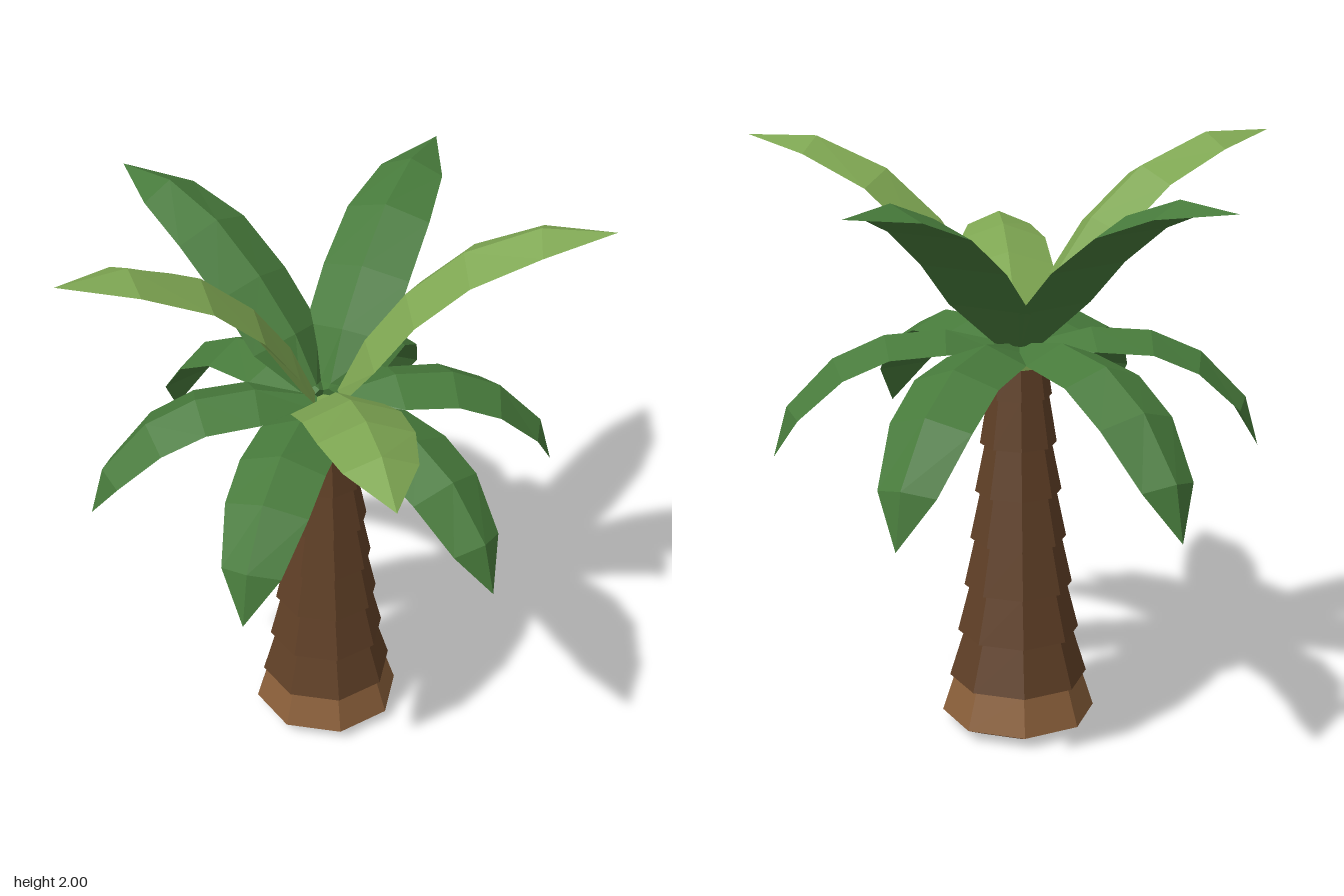
import * as THREE from 'three';

const mat = (name, color) => {
  const m = new THREE.MeshStandardMaterial({ color });
  m.name = name;
  return m;
};

// Splits shared vertices so every face is flat
function faceted(geo) {
  const g = geo.index ? geo.toNonIndexed() : geo;
  g.computeVertexNormals();
  return g;
}

// Closed three-sided leaf: ridge on top, flat underside, pointed tip.
// rib: [distance out, height]; widths: half width at each rib point.
function frondGeometry(rib, widths, depths) {
  const rings = rib.map(([r, y], i) => {
    const a = rib[Math.max(i - 1, 0)];
    const b = rib[Math.min(i + 1, rib.length - 1)];
    const t = new THREE.Vector2(b[0] - a[0], b[1] - a[1]).normalize();
    const er = r + t.y * depths[i];
    const ey = y - t.x * depths[i];
    return [[0, y, r], [-widths[i], ey, er], [widths[i], ey, er]];
  });
  const pos = [];
  const tri = (...corners) => corners.forEach((c) => pos.push(...c));
  tri(rings[0][0], rings[0][2], rings[0][1]);
  for (let i = 0; i < rings.length - 1; i++) {
    for (let k = 0; k < 3; k++) {
      const n = (k + 1) % 3;
      const [p, q, q2, p2] = [rings[i][k], rings[i][n], rings[i + 1][n], rings[i + 1][k]];
      tri(p, q, q2);
      if (i < rings.length - 2) tri(p, q2, p2);
    }
  }
  const g = new THREE.BufferGeometry();
  g.setAttribute('position', new THREE.Float32BufferAttribute(pos, 3));
  return faceted(g);
}

export function createModel() {
  const bark = mat('bark brown', 0x5f3f26);
  const rootBark = mat('light root brown', 0x8a5f3a);
  const green = mat('leaf green', 0x477a3b);
  const lightGreen = mat('light leaf green', 0x7ea652);

  const palm = new THREE.Group();
  palm.name = 'palmTree';
  palm.position.z = -0.13;

  const add = (name, geo, material) => {
    const mesh = new THREE.Mesh(geo, material);
    mesh.name = name;
    palm.add(mesh);
    return mesh;
  };
  // Eight-sided tapered ring from y0 to y1
  const ring = (name, y0, y1, r0, r1, material) => {
    const g = new THREE.CylinderGeometry(r1, r0, y1 - y0, 8);
    add(name, faceted(g), material).position.y = (y0 + y1) / 2;
  };

  // Trunk: foot, then overlapping bark rings
  ring('trunkFoot', 0, 0.04, 0.18, 0.262, rootBark);
  ring('trunkBase', 0.04, 0.17, 0.262, 0.22, rootBark);
  [
    [0.17, 0.335, 0.236, 0.185],
    [0.335, 0.5, 0.207, 0.165],
    [0.5, 0.667, 0.184, 0.147],
    [0.667, 0.833, 0.163, 0.128],
    [0.833, 1.0, 0.146, 0.112],
    [1.0, 1.165, 0.129, 0.102],
    [1.165, 1.275, 0.112, 0.095],
  ].forEach(([y0, y1, r0, r1], i) => ring(`barkRing${i + 1}`, y0, y1, r0, r1, bark));

  // Collar under the crown
  ring('crownCollar', 1.27, 1.31, 0.105, 0.1, lightGreen);

  const frond = (name, geo, degrees, material) => {
    add(name, geo, material).rotation.y = THREE.MathUtils.degToRad(degrees);
  };

  // Lower drooping fronds, six around the crown
  const lowWidths = [0.05, 0.14, 0.145, 0.14, 0.1, 0];
  const lowDepths = [0.03, 0.055, 0.055, 0.055, 0.045, 0];
  const droop = frondGeometry(
    [[0.03, 1.34], [0.24, 1.39], [0.44, 1.375], [0.61, 1.3], [0.765, 1.14], [0.812, 0.97]],
    lowWidths, lowDepths);
  const backDroop = frondGeometry(
    [[0.03, 1.345], [0.24, 1.385], [0.47, 1.355], [0.66, 1.25], [0.82, 1.065], [0.856, 0.887]],
    lowWidths, lowDepths);

  // Upper rising fronds, five around the crown
  const highWidths = [0.05, 0.155, 0.158, 0.152, 0.115, 0];
  const highDepths = [0.03, 0.055, 0.055, 0.055, 0.048, 0];
  const frontRise = frondGeometry(
    [[0.04, 1.35], [0.17, 1.455], [0.4, 1.57], [0.62, 1.632], [0.83, 1.645], [1.03, 1.585]],
    highWidths, highDepths);
  const sideRise = frondGeometry(
    [[0.04, 1.36], [0.13, 1.56], [0.26, 1.74], [0.44, 1.9], [0.678, 2.0], [0.914, 1.998]],
    highWidths, highDepths);
  const backRise = frondGeometry(
    [[0.04, 1.36], [0.136, 1.52], [0.297, 1.68], [0.494, 1.82], [0.717, 1.895], [0.952, 1.88]],
    highWidths, highDepths);

  frond('upperFrontFrond', frontRise, 0, lightGreen);
  for (const [side, s] of [['left', 1], ['right', -1]]) {
    frond(`${side}LowerFrontFrond`, droop, 30 * s, green);
    frond(`${side}LowerSideFrond`, droop, 90 * s, green);
    frond(`${side}LowerBackFrond`, backDroop, 150 * s, green);
    frond(`${side}UpperSideFrond`, sideRise, 72 * s, lightGreen);
    frond(`${side}UpperBackFrond`, backRise, 144 * s, green);
  }

  const model = new THREE.Group();
  model.name = 'palm';
  model.add(palm);
  return model;
}
